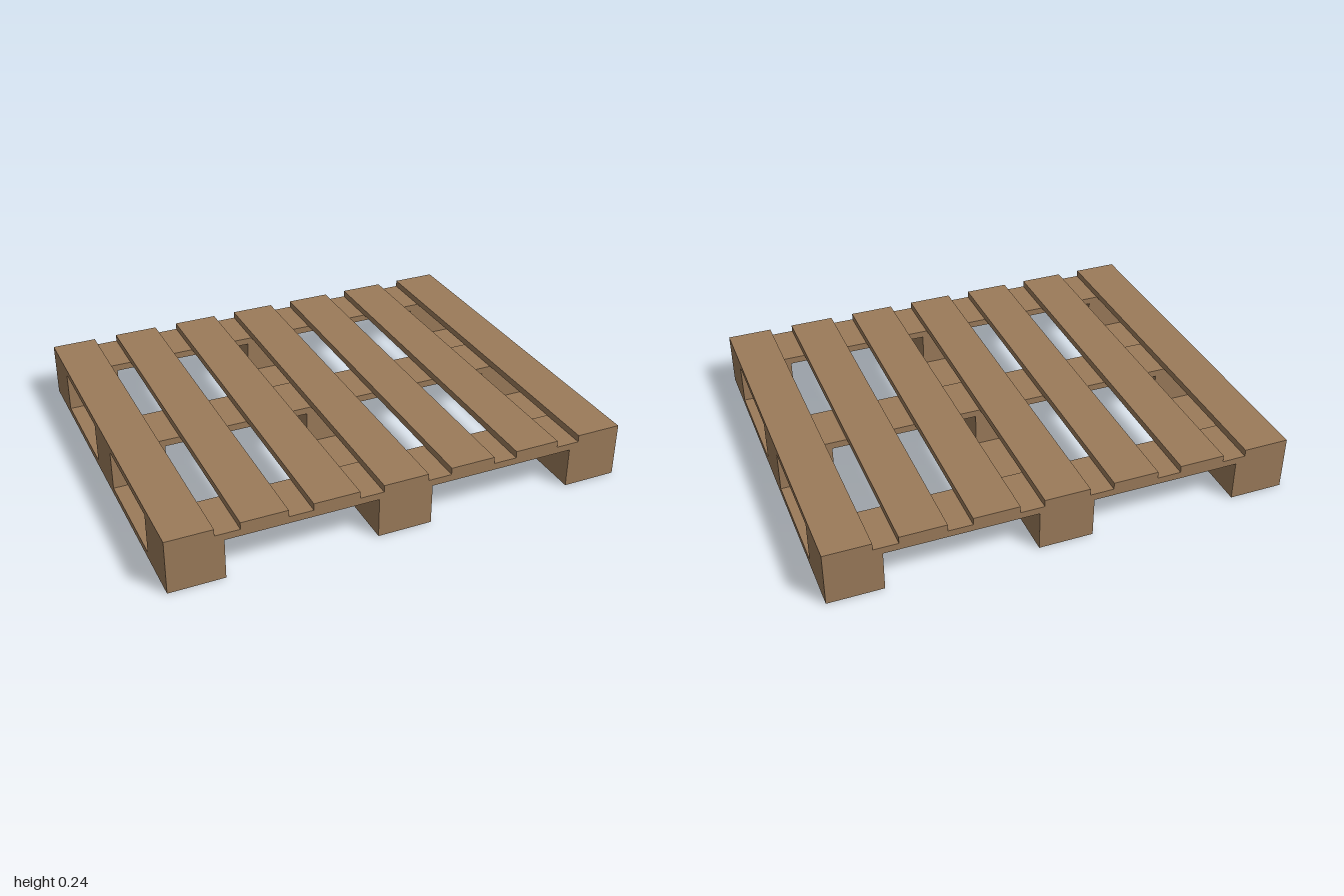
import * as THREE from 'three';

export function createModel() {
  const pallet = new THREE.Group();
  pallet.name = 'pallet';
  const wood = new THREE.MeshStandardMaterial({ color: 0x9b7b5a });
  wood.name = 'wood';

  const depth = 1.664;
  const beam = 0.236;   // width of runners, blocks and cross boards
  const board = 0.03;   // thickness of every board
  const blockTop = 0.177;
  const rowsX = [-1, 0, 1].map((s) => s * (1 - beam / 2));
  const rowsZ = [-1, 0, 1].map((s) => s * (depth - beam) / 2);

  // Box standing on height y
  function addBox(name, w, h, d, x, y, z) {
    const mesh = new THREE.Mesh(new THREE.BoxGeometry(w, h, d), wood);
    mesh.name = name;
    mesh.position.set(x, y + h / 2, z);
    pallet.add(mesh);
  }

  // Bottom runners, front to back
  for (const x of rowsX) addBox('bottomRunner', beam, board, depth, x, 0, 0);

  // Nine spacer blocks
  for (const x of rowsX) {
    for (const z of rowsZ) addBox('spacerBlock', beam, blockTop - board, beam, x, board, z);
  }

  // Cross boards, side to side
  for (const z of rowsZ) addBox('crossBoard', 2, board, beam, 0, blockTop, z);

  // Seven deck slats
  const slat = 0.197;
  for (let i = 0; i < 7; i++) {
    const x = (i - 3) * (2 - slat) / 6;
    addBox('deckSlat', slat, board, depth, x, blockTop + board, 0);
  }

  return pallet;
}
